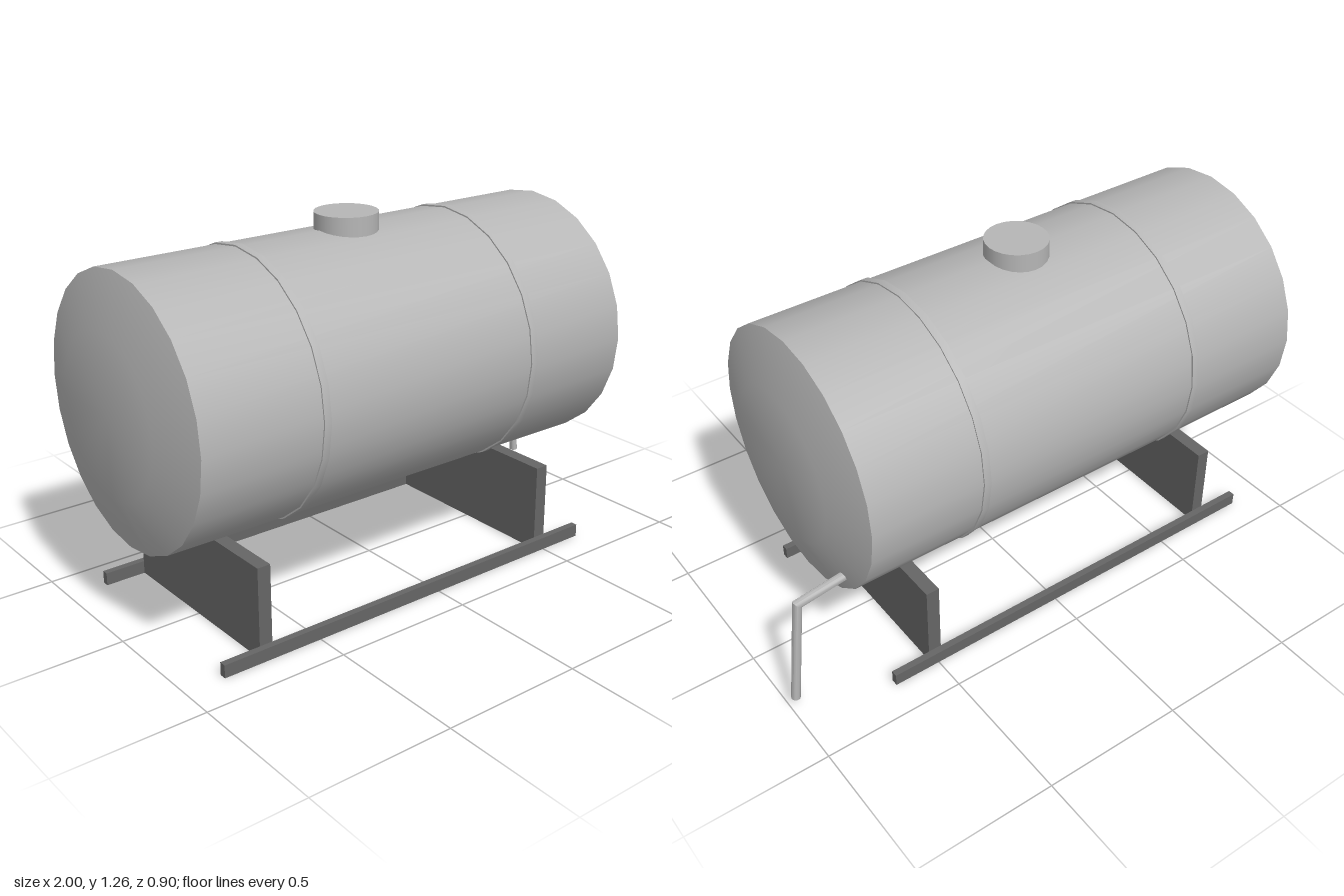
import * as THREE from 'three';
import { toCreasedNormals } from 'three/addons/utils/BufferGeometryUtils.js';

const SIDES = 24;
const AXIS_Y = 0.765;

export function createModel() {
  const model = new THREE.Group();
  model.name = 'storageTank';

  const tankPaint = new THREE.MeshStandardMaterial({ color: 0xb6b6b6 });
  tankPaint.name = 'light grey tank paint';
  const framePaint = new THREE.MeshStandardMaterial({ color: 0x666666 });
  framePaint.name = 'dark grey frame paint';

  const add = (name, geometry, material) => {
    const mesh = new THREE.Mesh(geometry, material);
    mesh.name = name;
    model.add(mesh);
    return mesh;
  };

  // Box given by its limits on each axis
  const addBox = (name, x0, x1, y0, y1, z0, z1) => {
    const box = add(name, new THREE.BoxGeometry(x1 - x0, y1 - y0, z1 - z0), framePaint);
    box.position.set((x0 + x1) / 2, (y0 + y1) / 2, (z0 + z1) / 2);
  };

  // Solid of revolution lying along x, from [radius, x] pairs
  const addTurned = (name, profile) => {
    const points = profile.map(([r, x]) => new THREE.Vector2(r, x));
    const geometry = new THREE.LatheGeometry(points, SIDES);
    geometry.rotateZ(-Math.PI / 2);
    add(name, toCreasedNormals(geometry, 0.5), tankPaint).position.y = AXIS_Y;
  };

  // Tank shell with shallow conical ends
  addTurned('tankShell', [
    [0, -1], [0.267, -1], [0.447, -0.948], [0.447, 0.757], [0.267, 0.81], [0, 0.81],
  ]);

  // Thin straps around the shell
  for (const x of [-0.512, 0.343]) {
    addTurned('strap', [[0.44, x - 0.013], [0.452, x - 0.013], [0.452, x + 0.013], [0.44, x + 0.013]]);
  }

  // Round hatch on top
  const hatch = add('hatch', new THREE.CylinderGeometry(0.107, 0.107, 0.083, SIDES), tankPaint);
  hatch.position.set(-0.095, 1.2215, 0);

  // Cross supports under the tank
  addBox('supportPlate', -0.717, -0.67, 0, 0.315, -0.358, 0.358);
  addBox('supportPlate', 0.475, 0.523, 0, 0.315, -0.358, 0.358);

  // Skid rails along both sides
  addBox('skidRail', -0.862, 0.67, 0, 0.045, 0.358, 0.382);
  addBox('skidRail', -0.862, 0.67, 0, 0.045, -0.382, -0.358);

  // Drain pipe: a cylinder bent along three points with a mitred elbow
  const path = [[0.755, 0.479], [0.938, 0.452], [0.983, 0.05]].map(([x, y]) => new THREE.Vector2(x, y));
  const dirs = [0, 1].map((i) => path[i + 1].clone().sub(path[i]).normalize());
  const normals = dirs.map((d) => new THREE.Vector2(-d.y, d.x));
  const mitre = normals[0].clone().add(normals[1]).normalize();
  mitre.divideScalar(mitre.dot(normals[0]));
  const across = [normals[0], mitre, normals[1]];
  const radius = 0.0155;
  const pipe = new THREE.CylinderGeometry(1, 1, 2, 12, 2);
  const pos = pipe.attributes.position;
  for (let i = 0; i < pos.count; i++) {
    const ring = Math.round(pos.getY(i) + 1);
    const offset = pos.getX(i) * radius;
    pos.setXYZ(
      i,
      path[ring].x - across[ring].x * offset,
      path[ring].y - across[ring].y * offset,
      pos.getZ(i) * radius,
    );
  }
  add('drainPipe', toCreasedNormals(pipe, 0.7), tankPaint).position.z = -0.27;

  return model;
}
